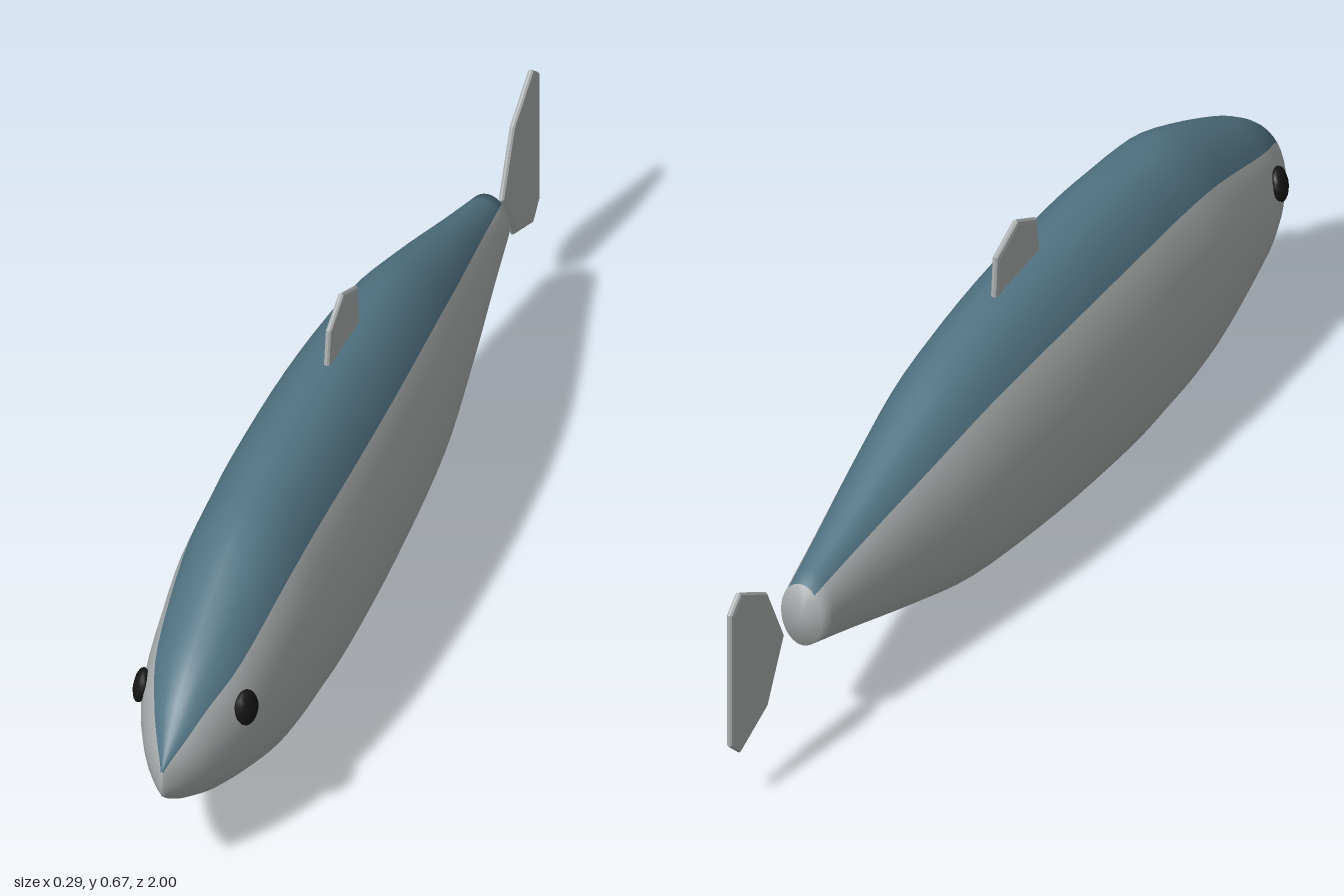
import * as THREE from 'three';

const silver = new THREE.MeshStandardMaterial({ name: 'silver', color: 0xadb1b1 });
const slateBlue = new THREE.MeshStandardMaterial({ name: 'slateBlue', color: 0x527484 });
const black = new THREE.MeshStandardMaterial({ name: 'black', color: 0x161616 });

// Body sections, nose to tail: z, top, bottom, half width, half angle of the blue back in degrees
const SECTIONS = [
  [1.0, 0.275, 0.22, 0.004, 30],
  [0.96, 0.325, 0.187, 0.036, 40],
  [0.9, 0.388, 0.15, 0.072, 44],
  [0.8, 0.45, 0.103, 0.108, 47],
  [0.6, 0.538, 0.026, 0.135, 48],
  [0.45, 0.56, 0.006, 0.142, 48],
  [0.3, 0.566, 0.0, 0.146, 48],
  [0.05, 0.558, 0.012, 0.142, 48],
  [-0.2, 0.524, 0.042, 0.126, 47],
  [-0.4, 0.46, 0.098, 0.098, 46],
  [-0.6, 0.384, 0.163, 0.064, 43],
  [-0.735, 0.335, 0.205, 0.042, 40],
];

function bodyGeometry() {
  const curve = (a, b) => new THREE.CatmullRomCurve3(
    SECTIONS.map((s) => new THREE.Vector3(s[0], s[a], s[b])), false, 'catmullrom', 0.5);
  const heights = curve(1, 2), widths = curve(3, 4);
  const rings = 44, sides = 30, backSides = 8;
  const pos = [], back = [], belly = [];

  // Elliptical rings; the first sides of each ring cover the blue back
  for (let i = 0; i <= rings; i++) {
    const { x: z, y: top, z: bottom } = heights.getPoint(i / rings);
    const { y: w, z: deg } = widths.getPoint(i / rings);
    const edge = THREE.MathUtils.degToRad(deg);
    for (let j = 0; j < sides; j++) {
      const t = j <= backSides
        ? -edge + (2 * edge * j) / backSides
        : edge + (2 * Math.PI - 2 * edge) * (j - backSides) / (sides - backSides);
      pos.push(w * Math.sin(t), (top + bottom) / 2 + (top - bottom) / 2 * Math.cos(t), z);
    }
  }
  for (let i = 0; i < rings; i++) {
    for (let j = 0; j < sides; j++) {
      const k = (j + 1) % sides;
      const a = i * sides + j, b = i * sides + k, c = a + sides, d = b + sides;
      (j < backSides ? back : belly).push(a, b, c, b, d, c);
    }
  }

  // Nose and tail caps
  const nose = pos.length / 3, tail = nose + 1, last = rings * sides;
  pos.push(0, 0.247, 1, 0, 0.27, -0.735);
  for (let j = 0; j < sides; j++) {
    const k = (j + 1) % sides;
    belly.push(k, j, nose, last + j, last + k, tail);
  }

  const geo = new THREE.BufferGeometry();
  geo.setAttribute('position', new THREE.Float32BufferAttribute(pos, 3));
  geo.setIndex([...back, ...belly]);
  geo.addGroup(0, back.length, 0);
  geo.addGroup(back.length, belly.length, 1);
  geo.computeVertexNormals();
  return geo;
}

// Thin bevelled plate from a side outline of [z, y] points
function fin(name, outline) {
  const shape = new THREE.Shape(outline.map(([z, y]) => new THREE.Vector2(z, y)));
  const geo = new THREE.ExtrudeGeometry(shape, {
    depth: 0.003, bevelEnabled: true, bevelThickness: 0.005,
    bevelSize: 0.01, bevelOffset: -0.01, bevelSegments: 2,
  });
  geo.translate(0, 0, -0.0015).rotateY(-Math.PI / 2);
  const mesh = new THREE.Mesh(geo, silver);
  mesh.name = name;
  return mesh;
}

export function createModel() {
  const fish = new THREE.Group();
  fish.name = 'fish';

  const body = new THREE.Mesh(bodyGeometry(), [slateBlue, silver]);
  body.name = 'body';
  fish.add(body);

  fish.add(fin('dorsalFin', [
    [-0.04, 0.53], [0.13, 0.53], [0.115, 0.632], [0.045, 0.667], [-0.032, 0.63],
  ]));
  fish.add(fin('tailFin', [
    [-0.805, 0.27], [-0.865, 0.393], [-0.965, 0.45], [-1, 0.42],
    [-1, 0.14], [-0.965, 0.108], [-0.865, 0.152],
  ]));

  // Eyes, tilted to lie along the sides of the head
  for (const s of [1, -1]) {
    const eye = new THREE.Mesh(new THREE.SphereGeometry(1, 12, 8), black);
    eye.name = s > 0 ? 'leftEye' : 'rightEye';
    eye.scale.set(0.014, 0.034, 0.03);
    eye.position.set(s * 0.1, 0.324, 0.83);
    eye.rotation.set(0, -s * 0.3, s * 0.2);
    fish.add(eye);
  }
  return fish;
}
